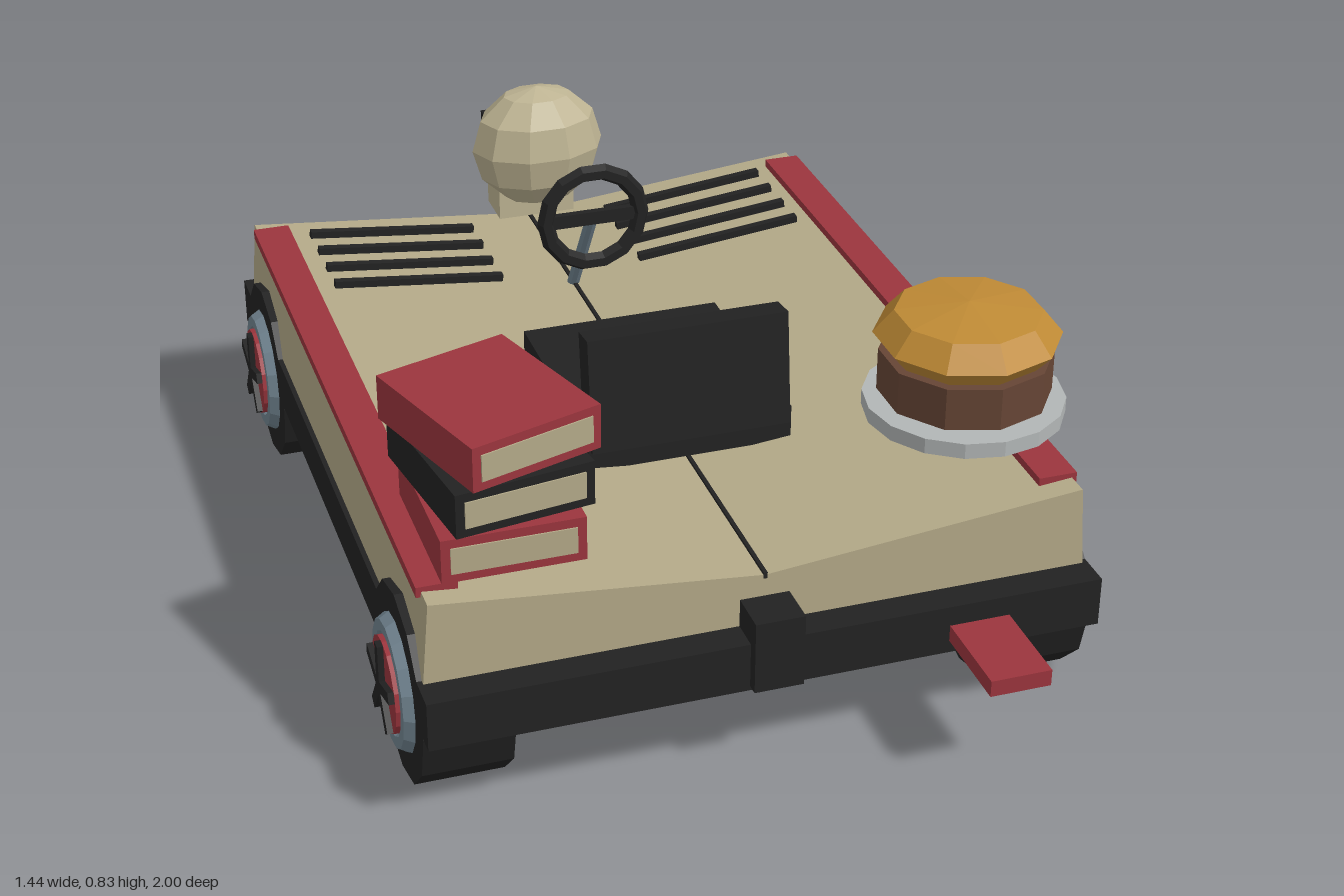
import * as THREE from 'three';

const mat = (name, color, double) => {
  const m = new THREE.MeshStandardMaterial({ color, flatShading: true });
  m.name = name;
  if (double) m.side = THREE.DoubleSide;
  return m;
};

export function createModel() {
  const root = new THREE.Group();
  root.name = 'car';
  const cream = mat('cream paint', 0xb3a988);
  const bone = mat('bone', 0xbdb392);
  const black = mat('black', 0x222222);
  const red = mat('red', 0x9b353d);
  const steel = mat('blue grey steel', 0x718490);
  const gold = mat('golden bun', 0xbf8a35, true);
  const brown = mat('brown patty', 0x664535);
  const silver = mat('plate grey', 0xb2b6b6);

  const add = (name, geo, material, x = 0, y = 0, z = 0, parent = root) => {
    const m = new THREE.Mesh(geo, material);
    m.name = name;
    m.position.set(x, y, z);
    parent.add(m);
    return m;
  };
  // Box given by its min and max corners
  const box = (name, material, x0, x1, y0, y1, z0, z1, parent = root) =>
    add(name, new THREE.BoxGeometry(x1 - x0, y1 - y0, z1 - z0), material,
      (x0 + x1) / 2, (y0 + y1) / 2, (z0 + z1) / 2, parent);

  // Chassis with a post at each end
  box('chassis', black, -0.68, 0.68, 0.21, 0.315, -0.975, 0.805);
  box('frontPost', black, -0.05, 0.05, 0.22, 0.375, 0.74, 0.83);
  box('rearPost', black, -0.05, 0.05, 0.22, 0.375, -1, -0.91);
  box('tongue', red, 0.36, 0.485, 0.237, 0.272, 0.79, 1);

  // Body with a shallow V-shaped top
  const section = new THREE.Shape([[-0.67, 0.31], [0.67, 0.31], [0.655, 0.487], [0, 0.422], [-0.655, 0.487]]
    .map(([x, y]) => new THREE.Vector2(x, y)));
  add('body', new THREE.ExtrudeGeometry(section, { depth: 1.65, bevelEnabled: false }), cream, 0, 0, -0.91);
  box('seam', black, -0.004, 0.004, 0.415, 0.428, -0.91, 0.742);

  for (const s of [-1, 1]) {
    // Side strips and slanted vent slats
    const x = s * 0.625;
    box('sideStrip', red, x - 0.04, x + 0.04, 0.475, 0.497, -0.865, 0.692);
    for (const z of [-0.81, -0.722, -0.635, -0.55]) {
      const slat = add('ventSlat', new THREE.BoxGeometry(0.385, 0.016, 0.018), black, s * 0.353, 0.473, z);
      slat.rotation.z = s * 0.11;
    }
    // Wheels
    for (const z of [0.565, -0.73]) {
      const wheel = new THREE.Group();
      wheel.name = 'wheel';
      wheel.position.set(s * 0.59, 0.205, z);
      if (s < 0) wheel.rotation.y = Math.PI;
      root.add(wheel);
      add('tyre', new THREE.CylinderGeometry(0.2, 0.2, 0.18, 12).rotateZ(Math.PI / 2), black, 0, 0, 0, wheel);
      add('rim', new THREE.TorusGeometry(0.1165, 0.0235, 6, 16).rotateY(Math.PI / 2), steel, 0.09, 0, 0, wheel);
      add('hub', new THREE.CylinderGeometry(0.098, 0.098, 0.05, 16).rotateZ(Math.PI / 2), red, 0.093, 0, 0, wheel);
      for (let i = 0; i < 5; i++) {
        const spoke = new THREE.BoxGeometry(0.03, 0.095, 0.024).translate(0.115, 0.0475, 0);
        add('spoke', spoke, black, 0, 0, 0, wheel).rotation.x = i * Math.PI * 2 / 5;
      }
    }
  }

  // Seat with a padded backrest
  box('seatBase', black, -0.215, 0.215, 0.435, 0.512, -0.175, 0.3);
  const back = new THREE.Group();
  back.name = 'backrest';
  back.position.set(0, 0.48, 0.31);
  back.rotation.x = -0.12;
  root.add(back);
  box('backPanel', black, -0.21, 0.21, 0, 0.242, -0.06, 0, back);
  box('backCushion', black, -0.185, 0.185, 0, 0.215, -0.1, -0.06, back);

  // Steering wheel and column
  add('steeringWheel', new THREE.TorusGeometry(0.108, 0.019, 6, 14), black, 0, 0.66, -0.37);
  box('steeringBar', black, -0.105, 0.105, 0.645, 0.675, -0.378, -0.362);
  const top = new THREE.Vector3(0, 0.66, -0.375), foot = new THREE.Vector3(0, 0.41, -0.54);
  const dir = top.clone().sub(foot);
  const column = add('steeringColumn', new THREE.CylinderGeometry(0.014, 0.014, dir.length(), 8), steel);
  column.position.copy(top).add(foot).multiplyScalar(0.5);
  column.quaternion.setFromUnitVectors(new THREE.Vector3(0, 1, 0), dir.normalize());

  // Skull ornament facing -z
  const skull = new THREE.Group();
  skull.name = 'skull';
  root.add(skull);
  add('cranium', new THREE.SphereGeometry(1, 10, 6).scale(0.155, 0.145, 0.112), bone, 0, 0.643, -0.815, skull);
  box('jaw', bone, -0.09, 0.09, 0.455, 0.545, -0.935, -0.83, skull);
  for (const s of [-1, 1]) box('eye', black, s * 0.065 - 0.037, s * 0.065 + 0.037, 0.615, 0.69, -0.935, -0.86, skull);
  for (const x of [-0.045, 0, 0.045]) box('toothGap', black, x - 0.015, x + 0.015, 0.465, 0.535, -0.943, -0.934, skull);

  // Burger on a plate
  const burger = new THREE.Group();
  burger.name = 'burger';
  burger.position.set(0.48, 0, 0.545);
  root.add(burger);
  add('plate', new THREE.CylinderGeometry(0.2, 0.2, 0.032, 16), silver, 0, 0.613, 0, burger);
  add('patty', new THREE.CylinderGeometry(0.172, 0.172, 0.088, 10), brown, 0, 0.684, 0, burger);
  const bun = [[0, 0.725], [0.15, 0.725], [0.185, 0.765], [0.145, 0.813], [0, 0.832]]
    .map(([r, y]) => new THREE.Vector2(r, y));
  add('bun', new THREE.LatheGeometry(bun, 10), gold, 0, 0, 0, burger);

  // Twisted stack of books, page edges facing +z
  [[red, 0.552, 0], [black, 0.655, 0.15], [red, 0.756, 0.31]].forEach(([cover, y, turn]) => {
    const book = new THREE.Group();
    book.name = 'book';
    book.position.set(-0.48, y, 0.543);
    book.rotation.y = turn;
    root.add(book);
    add('cover', new THREE.BoxGeometry(0.278, 0.092, 0.33), cover, 0, 0, 0, book);
    add('pages', new THREE.BoxGeometry(0.242, 0.055, 0.006), cream, 0, 0, 0.165, book);
  });
  return root;
}
